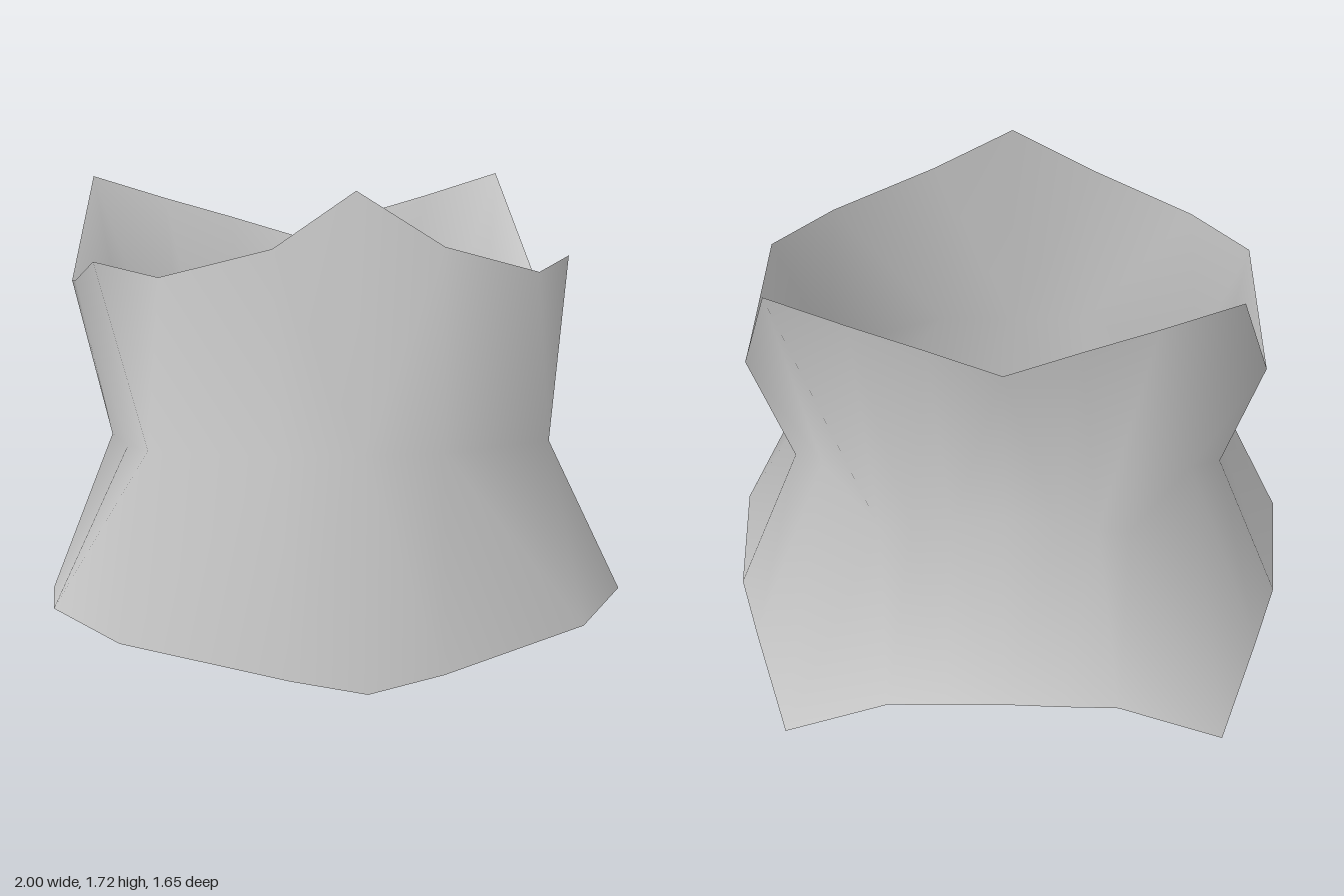
import * as THREE from 'three';

// Half of the garment as vertical seams, front centre round to back centre.
// Each seam lists its top, waist and hem points.
const SEAMS = [
  [[0, 1.715, 0.59], [0, 0.85, 0.725], [0, 0.065, 0.82]],
  [[0.29, 1.53, 0.645], [0.275, 0.85, 0.72], [0.26, 0.12, 0.815]],
  [[0.65, 1.43, 0.5], [0.69, 0.85, 0.5], [0.8, 0.215, 0.585]],
  [[0.84, 1.46, 0.18], [0.725, 0.82, 0.16], [1, 0.285, 0.32]],
  [[0.866, 1.355, -0.31], [0.75, 0.81, -0.18], [0.97, 0.25, -0.18]],
  [[0.87, 1.345, -0.43], [0.64, 0.88, -0.33], [0.9, 0.16, -0.38]],
  [[0.77, 1.715, -0.64], [0.43, 0.74, -0.525], [0.77, 0, -0.725]],
  [[0.5, 1.63, -0.668], [0.32, 0.76, -0.54], [0.4, 0.18, -0.79]],
  [[0.25, 1.557, -0.694], [0.18, 0.79, -0.557], [0.2, 0.21, -0.825]],
  [[0, 1.48, -0.72], [0, 0.82, -0.575], [0, 0.22, -0.83]],
];

function bodiceGeometry() {
  // Mirror the seams to close the ring
  const mirrored = SEAMS.slice(1, -1).reverse()
    .map((seam) => seam.map(([x, y, z]) => [-x, y, z]));
  const ring = [...SEAMS, ...mirrored];
  const rows = 3;
  const index = [];
  ring.forEach((_, i) => {
    const next = (i + 1) % ring.length;
    for (let r = 0; r < rows - 1; r++) {
      const a = i * rows + r, b = a + 1;
      const c = next * rows + r, d = c + 1;
      // Diagonals mirror from side to side
      const leftSide = i < SEAMS.length - 1;
      if (leftSide === (r === 0)) index.push(a, b, c, b, d, c);
      else index.push(a, b, d, a, d, c);
    }
  });
  const geometry = new THREE.BufferGeometry();
  geometry.setAttribute('position', new THREE.Float32BufferAttribute(ring.flat(2), 3));
  geometry.setIndex(index);
  geometry.computeVertexNormals();
  return geometry;
}

export function createModel() {
  const cloth = new THREE.MeshStandardMaterial({ color: 0xcccccc });
  cloth.name = 'light grey cloth';
  cloth.side = THREE.DoubleSide; // open, thin shell

  const bodice = new THREE.Mesh(bodiceGeometry(), cloth);
  bodice.name = 'bodice';

  const group = new THREE.Group();
  group.name = 'corset';
  group.add(bodice);
  return group;
}
